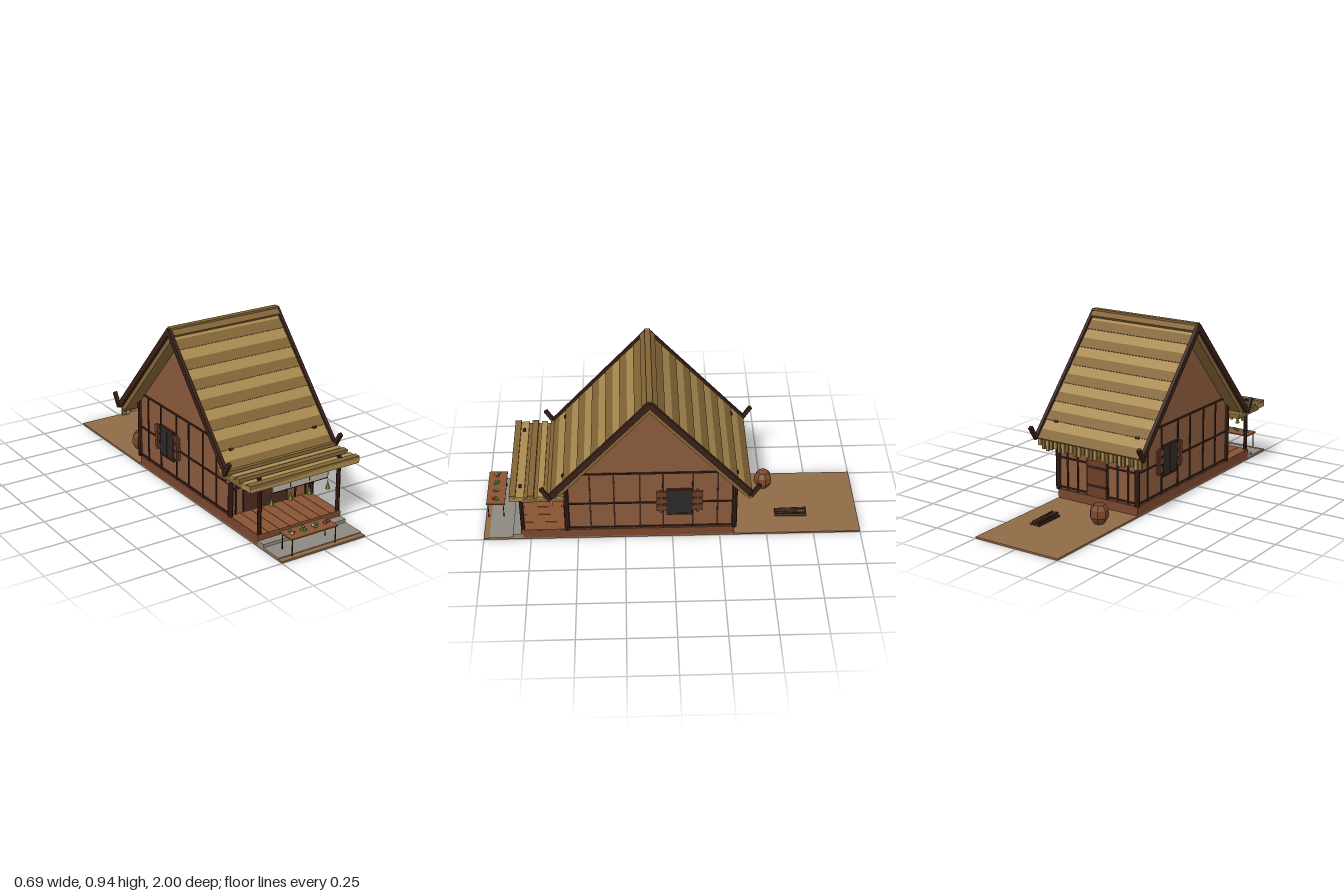
import * as THREE from 'three';

const C = {
  wall: 0x8a5a3c, trim: 0x3a2018, plinth: 0x7a472e, floor: 0x8a5233, straw: 0xa88a50, strawDark: 0x826436,
  dark: 0x2c2a28, opening: 0x4c2b20, shutter: 0x6b3d28, earth: 0x8f6a46, stone: 0x8e897f,
  board: 0xb5b0a0, leaf: 0x6f9430, red: 0xa83a30, green: 0x3f9a45, cream: 0xd8c49a,
};
const mats = {};
const mat = (c) => (mats[c] ??= new THREE.MeshStandardMaterial({ color: c, flatShading: true }));

function mesh(parent, name, geo, color, x = 0, y = 0, z = 0) {
  const m = new THREE.Mesh(geo, mat(color));
  m.name = name;
  m.position.set(x, y, z);
  parent.add(m);
  return m;
}
// Box given by its lower and upper corners
function span(parent, name, color, x0, x1, y0, y1, z0, z1) {
  return mesh(parent, name, new THREE.BoxGeometry(x1 - x0, y1 - y0, z1 - z0), color,
    (x0 + x1) / 2, (y0 + y1) / 2, (z0 + z1) / 2);
}
function group(parent, name) {
  const g = new THREE.Group();
  g.name = name;
  parent.add(g);
  return g;
}
const RIDGE_Z = 0.115;

function addBase(root) {
  const g = group(root, 'base');
  span(g, 'yard', C.earth, -0.25, 0.25, 0, 0.009, -1, 1);
  span(g, 'stonePaving', C.stone, -0.25, 0.25, 0.009, 0.014, 0.79, 0.97);
  span(g, 'stoneStep', C.stone, -0.25, 0.25, 0.009, 0.031, 0.79, 0.845);
  span(g, 'plinth', C.plinth, -0.25, 0.25, 0.009, 0.058, -0.325, 0.8);
  for (let i = 0; i < 8; i++) {
    const x = -0.25 + i * 0.0625;
    span(g, 'porchPlank', C.floor, x + 0.001, x + 0.0615, 0.058, 0.062, 0.55, 0.8);
  }
}

function addWalls(root) {
  const g = group(root, 'house');
  const s = new THREE.Shape();
  [[-0.32, 0.06], [0.55, 0.06], [0.55, 0.385], [RIDGE_Z, 0.868], [-0.32, 0.385]]
    .forEach(([z, y], i) => (i ? s.lineTo(z, y) : s.moveTo(z, y)));
  const body = new THREE.ExtrudeGeometry(s, { depth: 0.496, bevelEnabled: false });
  body.rotateY(-Math.PI / 2).translate(0.248, 0, 0);
  mesh(g, 'gabledWalls', body, C.wall);

  for (const sx of [-1, 1]) {
    const side = group(g, 'sideTrim');
    const bar = (name, color, d, y0, y1, z0, z1) =>
      mesh(side, name, new THREE.BoxGeometry(d, y1 - y0, z1 - z0), color, sx * 0.249, (y0 + y1) / 2, (z0 + z1) / 2);
    // Timber framing
    for (const z of [0.43, 0.305, 0.17, 0.05, -0.105, -0.235]) bar('stud', C.trim, 0.008, 0.06, 0.43, z - 0.004, z + 0.004);
    for (const y of [0.073, 0.235]) bar('rail', C.trim, 0.01, y - 0.004, y + 0.004, -0.32, 0.55);
    bar('eaveRail', C.trim, 0.01, 0.425, 0.434, -0.28, 0.51);
    // Window with slatted shutters
    bar('windowPane', C.dark, 0.02, 0.16, 0.32, -0.1, 0.03);
    for (const y of [0.16, 0.32]) bar('windowFrame', C.trim, 0.024, y - 0.004, y + 0.004, -0.1, 0.03);
    for (const z of [-0.1, -0.035, 0.03]) bar('windowBar', C.trim, 0.024, 0.16, 0.32, z - 0.003, z + 0.003);
    for (const y of [0.2, 0.245, 0.29]) {
      bar('shutterSlat', C.shutter, 0.02, y - 0.017, y + 0.017, 0.032, 0.084);
      bar('shutterSlat', C.shutter, 0.02, y - 0.017, y + 0.017, -0.156, -0.102);
    }
    for (const z of [0.06, -0.13]) bar('shutterBrace', C.shutter, 0.026, 0.175, 0.315, z - 0.007, z + 0.007);
    // Corner posts
    for (const z of [-0.325, 0.555])
      mesh(g, 'cornerPost', new THREE.CylinderGeometry(0.014, 0.014, 0.335, 8), C.trim, sx * 0.248, 0.227, z);
  }
  // Front wall: wide dark opening and panelling
  span(g, 'shopOpening', C.opening, -0.165, 0.092, 0.06, 0.32, 0.54, 0.553);
  for (const x of [-0.215, -0.168, 0.095, 0.15, 0.215]) span(g, 'frontStud', C.trim, x - 0.004, x + 0.004, 0.06, 0.38, 0.54, 0.556);
  span(g, 'frontRail', C.trim, 0.095, 0.24, 0.198, 0.206, 0.54, 0.556);
  span(g, 'frontRail', C.trim, -0.24, -0.168, 0.198, 0.206, 0.54, 0.556);
  // Back wall: plank door and framing
  span(g, 'backDoor', C.shutter, -0.06, 0.06, 0.06, 0.28, -0.332, -0.31);
  for (const y of [0.12, 0.22]) span(g, 'doorBrace', C.trim, -0.06, 0.06, y - 0.006, y + 0.006, -0.335, -0.31);
  for (const x of [-0.19, -0.125, -0.064, 0.064, 0.125, 0.19]) span(g, 'backStud', C.trim, x - 0.004, x + 0.004, 0.06, 0.37, -0.326, -0.31);
  for (const sx of [-1, 1])
    for (const y of [0.073, 0.235])
      span(g, 'backRail', C.trim, sx > 0 ? 0.064 : -0.245, sx > 0 ? 0.245 : -0.064, y - 0.004, y + 0.004, -0.327, -0.31);
}

function addRoof(root) {
  const roof = group(root, 'roof');
  const run = 0.52, drop = 0.575, len = Math.hypot(run, drop);
  for (const s of [1, -1]) {
    const g = group(roof, 'roofSlope');
    g.position.set(0, 0.92, RIDGE_Z);
    g.rotation.set(Math.atan2(drop, run), s > 0 ? 0 : Math.PI, 0, 'YXZ');
    span(g, 'thatchBed', C.strawDark, -0.32, 0.32, -0.04, -0.006, -0.015, len);
    // Overlapping thatch courses, each with a pale and a dark strip
    const n = 7, step = len / n;
    for (let i = 0; i < n; i++) {
      const course = group(g, 'thatchCourse');
      course.position.z = i * step;
      course.rotation.x = -0.03;
      span(course, 'paleThatch', C.straw, -0.318, 0.318, -0.014, 0, 0, step / 2);
      span(course, 'darkThatch', C.strawDark, -0.318, 0.318, -0.014, 0, step / 2, step);
    }
    for (const sx of [-1, 1]) {
      span(g, 'bargeBoard', C.trim, sx * 0.327 - 0.009, sx * 0.327 + 0.009, -0.016, 0.014, -0.005, len);
      const horn = mesh(g, 'eaveHorn', new THREE.BoxGeometry(0.018, 0.085, 0.02), C.trim, sx * 0.335, 0.032, len - 0.01);
      horn.rotation.x = -0.28;
      span(g, 'roofPeg', C.trim, sx * 0.253 - 0.011, sx * 0.253 + 0.011, 0, 0.008, len * 0.85, len * 0.85 + 0.012);
    }
    // Ragged straw fringe along the eave
    for (let i = 0; i < 26; i++) {
      const h = 0.035 + 0.025 * Math.abs(Math.sin(i * 2.3 + s));
      mesh(roof, 'eaveStraw', new THREE.BoxGeometry(0.018, h, 0.01), i % 2 ? C.straw : C.strawDark,
        -0.312 + i * 0.025, 0.342 - h / 2, RIDGE_Z + s * 0.51);
    }
  }
  span(roof, 'ridgeCap', C.strawDark, -0.327, 0.327, 0.91, 0.937, 0.1, 0.13);
}

function addPorch(root) {
  const g = group(root, 'porch');
  span(g, 'awningBed', C.strawDark, -0.322, 0.322, 0.312, 0.338, 0.56, 0.78);
  span(g, 'awningEdge', C.straw, -0.325, 0.325, 0.32, 0.345, 0.77, 0.84);
  [0.585, 0.635, 0.685, 0.735, 0.785, 0.828].forEach((z, i) =>
    span(g, 'awningSlat', i % 2 ? C.strawDark : C.straw, -0.325, 0.325, 0.336, i % 2 ? 0.357 : 0.349, z - 0.021, z + 0.012));
  for (const sx of [-1, 1]) {
    mesh(g, 'porchPost', new THREE.CylinderGeometry(0.011, 0.011, 0.26, 8), C.trim, sx * 0.237, 0.19, 0.79);
    span(g, 'awningPeg', C.trim, sx * 0.24 - 0.008, sx * 0.24 + 0.008, 0.345, 0.36, 0.78, 0.795);
  }
  span(g, 'hangingBoard', C.board, -0.165, 0.165, 0.266, 0.313, 0.788, 0.798);
  span(g, 'boardRim', C.trim, -0.166, 0.166, 0.262, 0.266, 0.787, 0.799);
  // Bundles of herbs hung from the awning
  for (const x of [-0.177, -0.064, 0.05, 0.163]) {
    mesh(g, 'herbBundle', new THREE.ConeGeometry(0.013, 0.045, 5), C.leaf, x, 0.227, 0.802);
    mesh(g, 'herbString', new THREE.CylinderGeometry(0.001, 0.001, 0.07, 4), C.trim, x, 0.282, 0.802);
  }
}

function addTable(root) {
  const g = group(root, 'produceTable');
  span(g, 'tableTop', C.floor, -0.192, 0.085, 0.1, 0.107, 0.893, 0.992);
  for (const x of [-0.18, 0.077])
    for (const z of [0.903, 0.984]) span(g, 'tableLeg', C.trim, x - 0.002, x + 0.002, 0.012, 0.1, z - 0.002, z + 0.002);
  const tints = [[C.red, C.cream, C.green], [C.green, C.leaf, C.green], [C.leaf, C.cream, C.green], [C.red, C.green, C.red]];
  tints.forEach((t, i) => {
    const pile = group(g, 'producePile');
    pile.position.set(-0.157 + i * 0.069, 0.113, 0.945);
    t.forEach((c, k) => {
      const a = k * 2.1 + i;
      const p = mesh(pile, 'produce', new THREE.IcosahedronGeometry(0.011, 0), c, Math.cos(a) * 0.009, k === 2 ? 0.009 : 0, Math.sin(a) * 0.009);
      p.scale.y = 0.7;
    });
  });
}

function addYardItems(root) {
  // Faceted clay jar
  const profile = [[0, 0], [0.028, 0], [0.05, 0.035], [0.047, 0.075], [0.03, 0.1], [0, 0.1]].map(([r, y]) => new THREE.Vector2(r, y));
  mesh(root, 'clayJar', new THREE.LatheGeometry(profile, 7), C.plinth, -0.142, 0.009, -0.51);
  // Stack of firewood
  const wood = group(root, 'firewood');
  for (let i = 0; i < 7; i++) {
    const top = i > 3 ? 1 : 0;
    const log = mesh(wood, 'log', new THREE.CylinderGeometry(0.007, 0.007, 0.17, 6), i % 2 ? C.shutter : C.trim,
      0.074 + (i - top * 3.5) * 0.015, 0.016 + top * 0.013, -0.64);
    log.rotation.set(Math.PI / 2, 0, Math.sin(i * 3) * 0.06);
  }
}

export function createModel() {
  const root = new THREE.Group();
  root.name = 'thatchedHouse';
  [addBase, addWalls, addRoof, addPorch, addTable, addYardItems].forEach((build) => build(root));
  return root;
}
